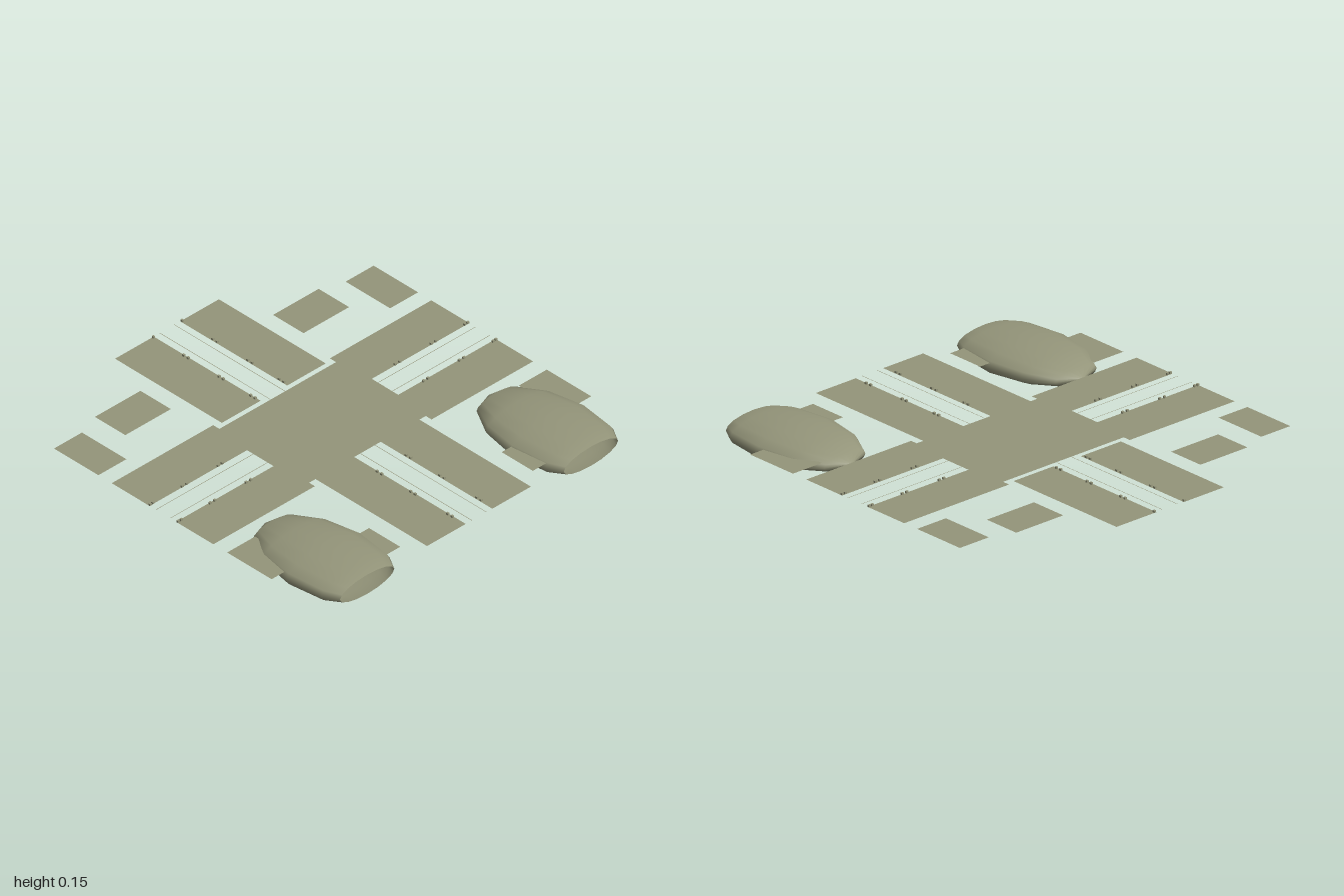
import * as THREE from 'three';

const LEVEL = 0.105; // height of all paved and planted surfaces
const material = new THREE.MeshStandardMaterial({ color: 0x94957a, side: THREE.DoubleSide });

export function createModel() {
  const model = new THREE.Group();

  const add = (name, geometry, x = 0, y = 0, z = 0) => {
    const mesh = new THREE.Mesh(geometry, material);
    mesh.name = name;
    mesh.position.set(x, y, z);
    model.add(mesh);
    return mesh;
  };

  // flat rectangle given by its x and z limits
  const slab = (name, x0, x1, z0, z1, y = LEVEL) => {
    const g = new THREE.PlaneGeometry(Math.abs(x1 - x0), Math.abs(z1 - z0)).rotateX(-Math.PI / 2);
    return add(name, g, (x0 + x1) / 2, y, (z0 + z1) / 2);
  };

  // crossing: wide middle with tongues reaching between the side arms
  slab('crossing', -0.365, 0.365, -0.29, 0.285);
  for (const s of [-1, 1]) slab('crossingTongue', s * 0.365, s * 0.39, -0.29, 0.285);

  for (const s of [-1, 1]) {
    // pavements beside the roads
    slab('northPavement', s * 0.083, s * 0.325, -1, -0.315);
    slab('southPavement', s * 0.083, s * 0.325, 0.28, 1);
    slab('sidePavementNorth', s * 0.39, s * 1, -0.33, -0.087);
    slab('sidePavementSouth', s * 0.39, s * 1, 0.083, 0.322);
    slab('pavementCornerNorth', s * 0.365, s * 0.39, -0.33, -0.29);
    slab('pavementCornerSouth', s * 0.365, s * 0.39, 0.285, 0.322);

    // plots in the four quarters
    slab('northOuterPlot', s * 0.825, s * 1, -0.70, -0.415);
    slab('northInnerPlot', s * 0.415, s * 0.70, -0.745, -0.55);
    slab('southOuterPlot', s * 0.825, s * 1, 0.41, 0.695);
    slab('southInnerPlot', s * 0.415, s * 0.70, 0.72, 0.92);
  }

  // thin road lines: one rounded L in each quarter
  const lineShape = (sx, sz) => {
    const a = 0.044, b = 0.047, r = 0.035;
    const shape = new THREE.Shape();
    shape.moveTo(sx * a, sz);
    shape.lineTo(sx * a, sz * (a + r));
    shape.quadraticCurveTo(sx * a, sz * a, sx * (a + r), sz * a);
    shape.lineTo(sx, sz * a);
    shape.lineTo(sx, sz * b);
    shape.lineTo(sx * (b + r), sz * b);
    shape.quadraticCurveTo(sx * b, sz * b, sx * b, sz * (b + r));
    shape.lineTo(sx * b, sz);
    return shape;
  };
  for (const sx of [-1, 1]) for (const sz of [-1, 1]) {
    const g = new THREE.ShapeGeometry(lineShape(sx, sz), 6).rotateX(-Math.PI / 2);
    add('roadLine', g, 0, LEVEL + 0.001, 0);
  }

  // small kerb fittings in pairs along the pavement edges
  const fitting = new THREE.BoxGeometry(0.01, 0.01, 0.012);
  const along = [-0.785, -0.56, -0.357, 0.455, 0.67, 0.907];
  const across = [-0.99, -0.78, -0.555, 0.555, 0.78, 0.99];
  for (const s of [-1, 1]) for (const d of [-0.014, 0.014]) {
    for (const z of along) add('kerbFitting', fitting, s * 0.09, LEVEL + 0.005, z + d);
    for (const x of across) {
      const px = Math.max(-0.994, Math.min(0.994, x + d));
      add('kerbFitting', fitting, px, LEVEL + 0.005, s * 0.09).rotation.y = Math.PI / 2;
    }
  }
  for (const s of [-1, 1]) add('kerbFitting', fitting, s * 0.09, LEVEL + 0.005, -0.994);

  // flattened egg-shaped shells, open where they meet the front edge
  const profile = [[0, 0.345], [0.125, 0.395], [0.205, 0.535], [0.24, 0.725], [0.215, 0.925], [0.17, 1]]
    .map(([r, z]) => new THREE.Vector2(r, z));
  const shell = new THREE.LatheGeometry(profile, 16).rotateX(Math.PI / 2).scale(1, 0.3125, 1);
  add('leftShell', shell, 0.7, 0.083, 0);
  add('rightShell', shell, -0.7, 0.083, 0);

  return model;
}
